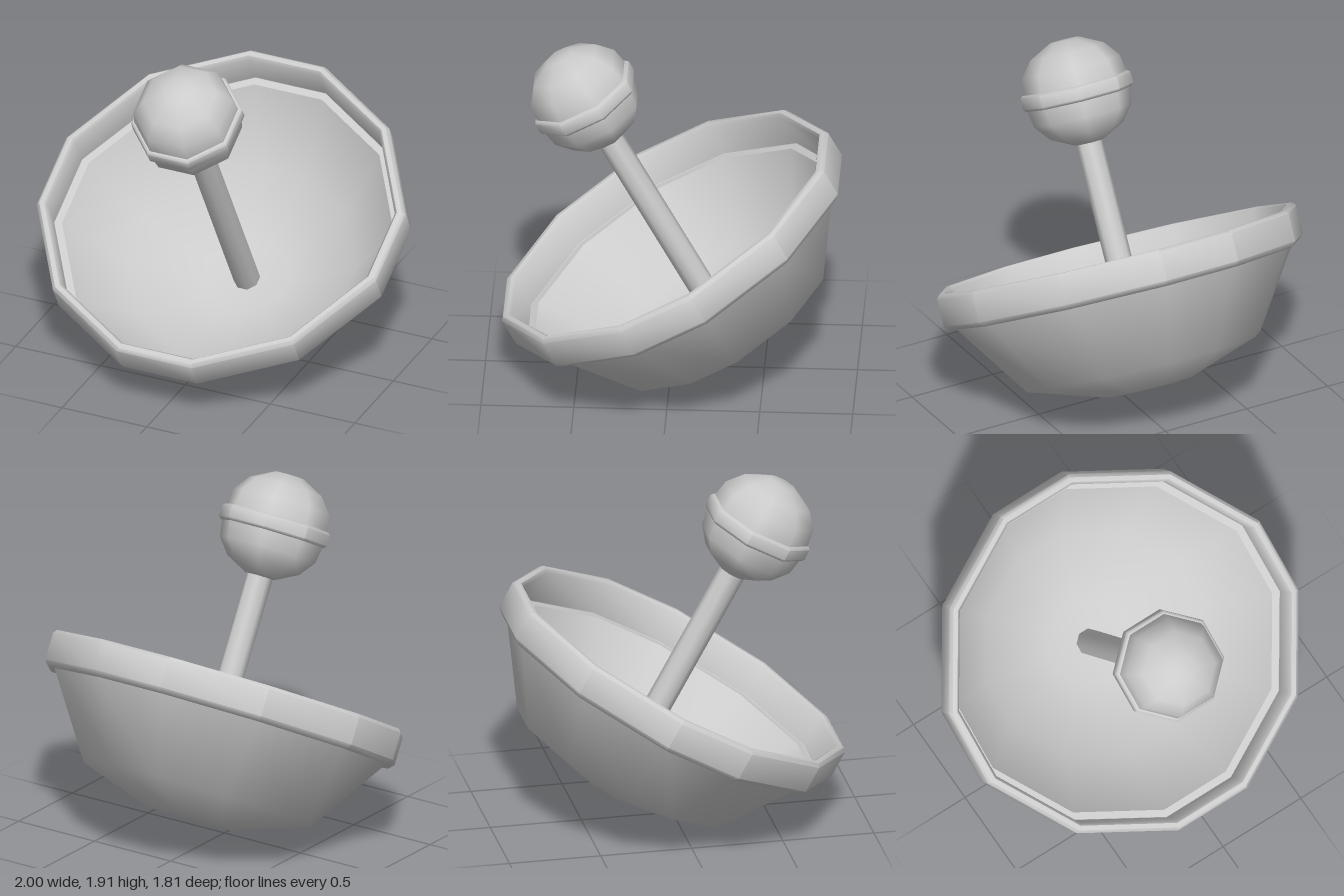
import * as THREE from 'three';
import { toCreasedNormals, mergeVertices } from 'three/addons/utils/BufferGeometryUtils.js';

// Twelve-sided outline of unit half-width, shared by the bowl and its rim
const half = [[0.22, 0.99], [0.71, 0.71], [1, 0.22], [1, -0.22], [0.71, -0.71], [0.22, -0.99]];
const outline = [...half, ...half.map(([x, z]) => [-x, -z])];

const material = new THREE.MeshStandardMaterial({ color: 0xcccccc, side: THREE.DoubleSide });

// Turn a [radius, height] profile; an optional outline replaces the circle
function turned(name, profile, sides, crease, shape) {
  const points = profile.map(([r, y]) => new THREE.Vector2(r, y));
  let geo = new THREE.LatheGeometry(points, sides, Math.PI / sides);
  if (shape) {
    const pos = geo.attributes.position;
    for (let i = 0; i <= sides; i++) {
      const [x, z] = shape[i % sides];
      points.forEach((p, j) => pos.setXYZ(i * points.length + j, p.x * x, p.y, p.x * z));
    }
  }
  geo.deleteAttribute('normal');
  geo.deleteAttribute('uv');
  geo = toCreasedNormals(mergeVertices(geo, 1e-4), crease);
  const mesh = new THREE.Mesh(geo, material);
  mesh.name = name;
  return mesh;
}

export function createModel() {
  const model = new THREE.Group();
  model.name = 'dishAntenna';

  // Everything shares one axis, leaning toward the front
  const dish = new THREE.Group();
  dish.name = 'tiltedDish';
  const tilt = THREE.MathUtils.degToRad(29);
  dish.rotation.x = tilt;
  dish.position.set(0, 0.38 * Math.sin(tilt), -0.38 * Math.cos(tilt));
  model.add(dish);

  // Bowl: outer and inner shells
  dish.add(turned('bowlOutside',
    [[0, 0.014], [0.245, 0.014], [0.65, 0.15], [0.945, 0.585]], 12, 1.1, outline));
  dish.add(turned('bowlInside',
    [[0.9, 0.576], [0.62, 0.2], [0.235, 0.07], [0, 0.07]], 12, 1.1, outline));

  // Rim: chamfered band with a small ledge inside
  dish.add(turned('rim',
    [[0.93, 0.576], [0.97, 0.576], [1, 0.605], [1, 0.757], [0.983, 0.776], [0.957, 0.776],
      [0.942, 0.757], [0.942, 0.578], [0.9, 0.576]], 12, 0.85, outline));

  // Stem from the bowl floor into the ball
  dish.add(turned('stem',
    [[0, 0.05], [0.073, 0.05], [0.073, 1.42], [0, 1.42]], 8, 0.9));

  // Ball with flattened poles
  const quarter = [[0.292, 0], [0.27, 0.135], [0.203, 0.22], [0.08, 0.283], [0, 0.285]];
  const ballProfile = [...quarter.slice(1).reverse().map(([r, y]) => [r, -y]), ...quarter];
  const ball = turned('ball', ballProfile, 8, 1);
  ball.position.y = 1.65;
  dish.add(ball);

  // Band around the ball
  const band = turned('ballBand',
    [[0.27, -0.044], [0.292, -0.044], [0.305, -0.03], [0.305, 0.03], [0.292, 0.044], [0.27, 0.044]], 8, 0.9);
  band.position.y = 1.65;
  dish.add(band);

  return model;
}
